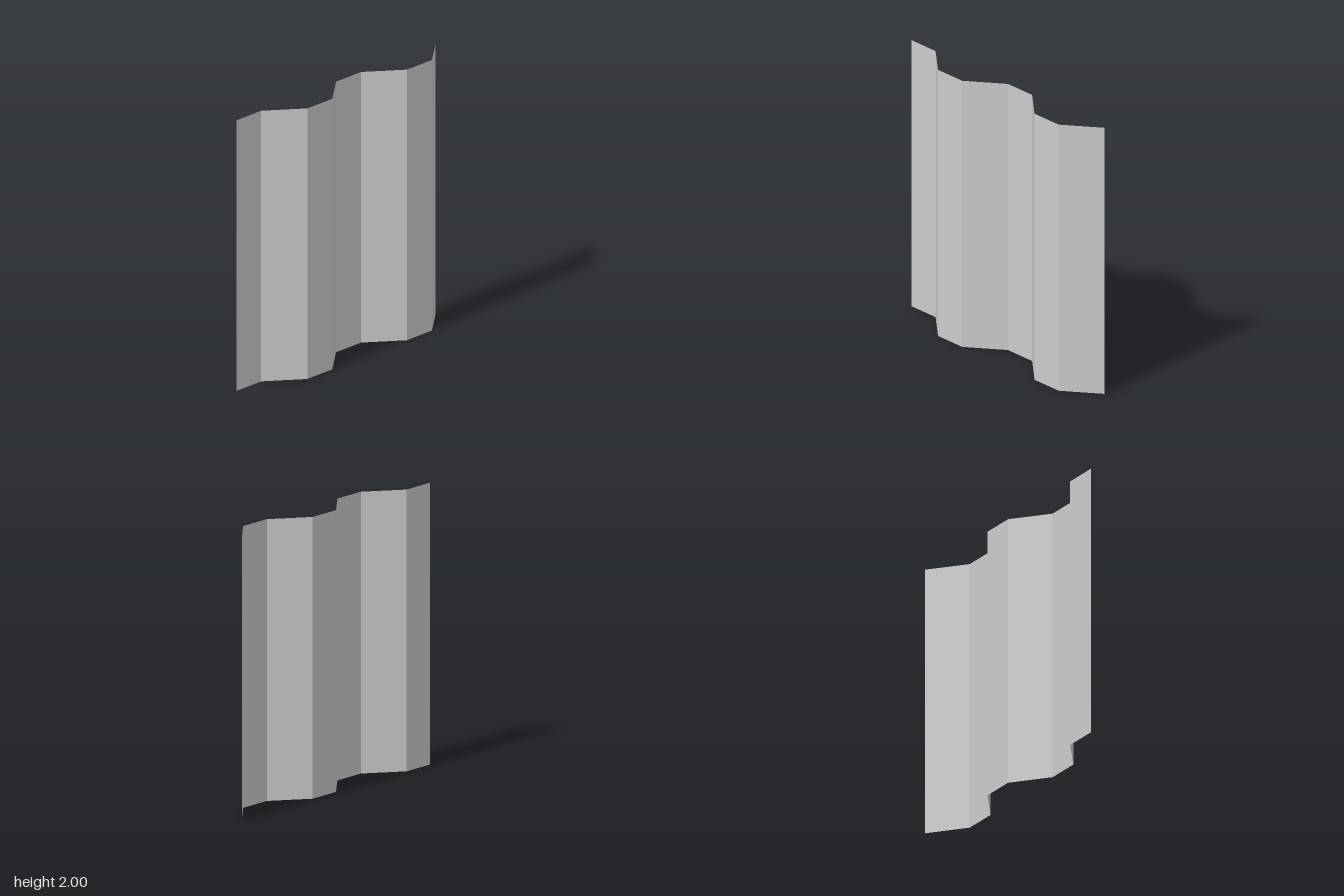
import * as THREE from 'three';

const SIZE = 2, PANELS = 8, DEPTH = 0.1;
// depth of successive folds, repeating: back, back, front, front
const FOLDS = [-DEPTH, -DEPTH, DEPTH, DEPTH];

export function createModel() {
  const group = new THREE.Group();
  group.name = 'corrugatedPanel';

  // thin upright sheet, one column per fold
  const geometry = new THREE.PlaneGeometry(SIZE, SIZE, PANELS, 1);
  geometry.translate(0, SIZE / 2, 0);
  const pos = geometry.attributes.position;
  for (let i = 0; i < pos.count; i++) {
    const column = i % (PANELS + 1);
    pos.setZ(i, FOLDS[column % FOLDS.length]);
  }

  // separate the facets so the folds stay sharp
  const faceted = geometry.toNonIndexed();
  faceted.computeVertexNormals();

  const sheet = new THREE.Mesh(faceted, new THREE.MeshStandardMaterial({
    color: 0xcccccc, flatShading: true, side: THREE.DoubleSide,
  }));
  sheet.name = 'corrugatedSheet';
  group.add(sheet);
  return group;
}
